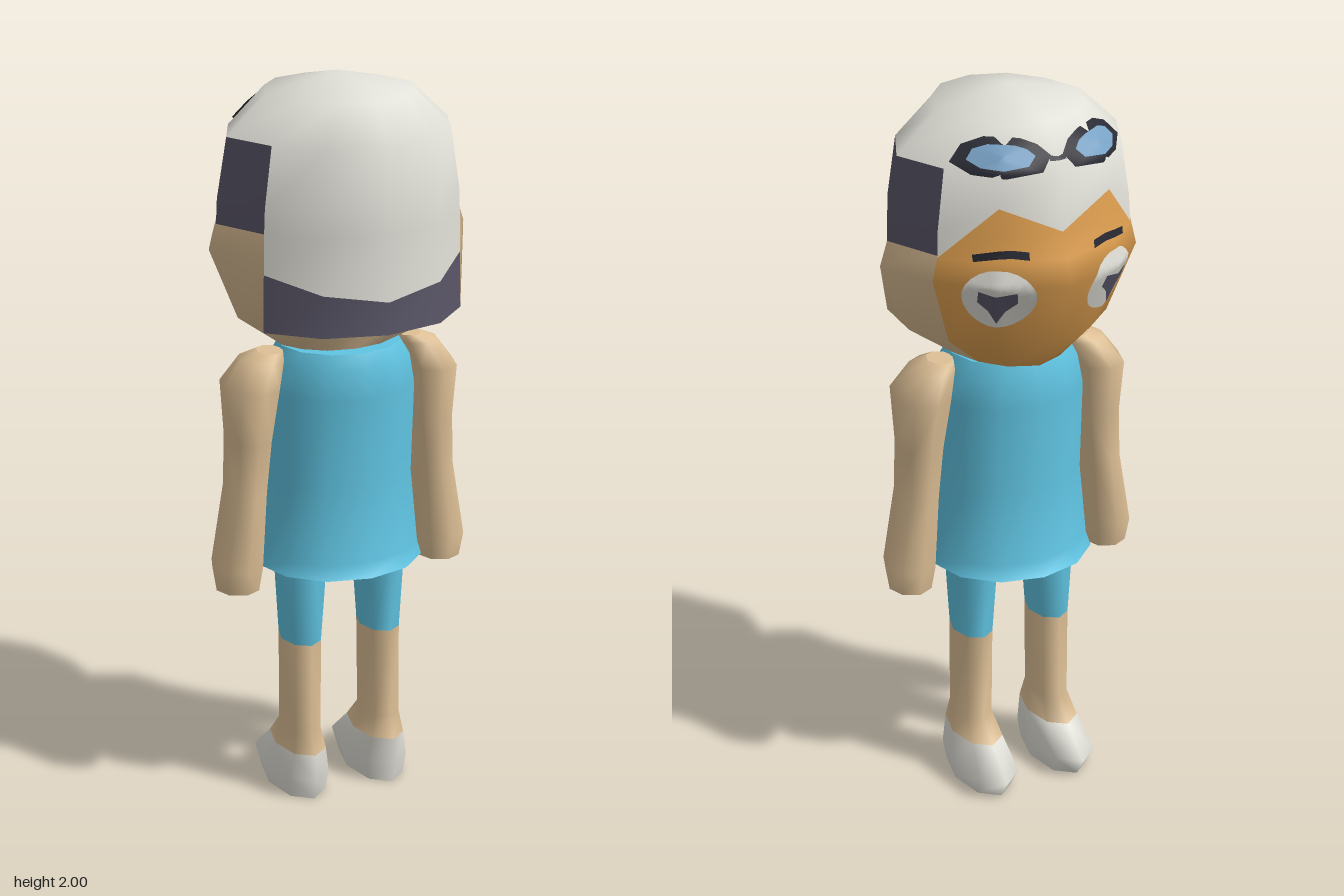
import * as THREE from 'three';
import { mergeGeometries, mergeVertices } from 'three/addons/utils/BufferGeometryUtils.js';

const material = (name, color, side = THREE.FrontSide) =>
  Object.assign(new THREE.MeshStandardMaterial({ color, side }), { name });

// Surface patch: point(i, j) for i = 0..nu, j = 0..nv
function grid(nu, nv, point) {
  const pos = [], index = [];
  for (let j = 0; j <= nv; j++) for (let i = 0; i <= nu; i++) pos.push(...point(i, j));
  for (let j = 0; j < nv; j++) for (let i = 0; i < nu; i++) {
    const a = j * (nu + 1) + i, b = a + 1, c = a + nu + 1, d = c + 1;
    index.push(a, c, b, b, c, d);
  }
  const g = new THREE.BufferGeometry();
  g.setAttribute('position', new THREE.Float32BufferAttribute(pos, 3));
  g.setIndex(index);
  return g;
}

// Join patches with smooth normals
function smooth(...patches) {
  const g = mergeVertices(mergeGeometries(patches), 1e-4);
  g.computeVertexNormals();
  return g;
}

// Loft through elliptical rings [y, cx, cz, rx, rz], with flat end caps
function loft(rings, sides) {
  const at = ([y, cx, cz, rx, rz], i, s = 1) => {
    const t = (i / sides) * Math.PI * 2;
    return [cx + s * rx * Math.cos(t), y, cz + s * rz * Math.sin(t)];
  };
  const first = rings[0], last = rings[rings.length - 1];
  return mergeGeometries([
    smooth(grid(sides, rings.length - 1, (i, j) => at(rings[j], i))),
    smooth(grid(sides, 1, (i, j) => at(first, i, j))),
    smooth(grid(sides, 1, (i, j) => at(last, i, 1 - j))),
  ]);
}

// Head: twelve columns, numbered from the face (-z) round through +x
const CZ = 0.02;
const BASE = [[0, -0.28], [0.165, -0.24], [0.28, -0.13], [0.35, 0.02], [0.28, 0.17], [0.165, 0.28], [0, 0.32]];
// rings: y, x scale, front z scale, back z scale, nose push
const CROWN = [
  [1.635, 0.98, 1, 0.99, -0.018], [1.7, 0.97, 0.98, 0.99, 0], [1.855, 0.89, 0.93, 0.95, 0],
  [1.955, 0.58, 0.71, 0.74, 0], [2, 0, 0, 0, 0],
];
const HAIR = [[1.38, 1, 1, 1, 0], ...CROWN];
const SKIN = [[1.29, 0.46, 0.55, 0.36, -0.01], [1.38, 0.82, 0.76, 0.5, -0.012], [1.57, 1.04, 1.03, 0.98, -0.035], ...CROWN];

function column(rings, k, y) {
  k = (k + 12) % 12;
  // the skin meets the hair edge behind the ears
  if ((k === 4 || k === 8) && y >= 1.38) rings = HAIR;
  const [bx, bz] = BASE[k > 6 ? 12 - k : k];
  let n = 0;
  while (n < rings.length - 2 && y > rings[n + 1][0]) n++;
  const t = (y - rings[n][0]) / (rings[n + 1][0] - rings[n][0]);
  const [, sx, sf, sb, nose] = rings[n].map((v, m) => v + (rings[n + 1][m] - v) * t);
  const z = CZ + (bz - CZ) * (bz < CZ ? sf : sb) + (k === 0 ? nose : 0);
  return [(k > 6 ? -bx : bx) * sx, y, z];
}

// Part of the head from column k0 on, between lower and upper heights per column
function headPatch(rings, k0, low, high) {
  return grid(low.length - 1, rings.length - 1, (i, j) => {
    const y = Math.min(Math.max(rings[j][0], low[i]), high[i]);
    return column(rings, k0 + i, y);
  });
}

// Thin painted plate following the head; outline points are [column, y]
function plate(outline, lift) {
  const n = outline.length, steps = 10;
  const c = [0, 1].map(m => outline.reduce((s, p) => s + p[m], 0) / n);
  return smooth(grid(n, steps, (i, j) => {
    const p = outline[i % n], s = j / steps;
    const u = c[0] + (p[0] - c[0]) * s, y = c[1] + (p[1] - c[1]) * s;
    const k = Math.floor(u), A = column(SKIN, k, y), B = column(SKIN, k + 1, y);
    const q = new THREE.Vector3(...A).lerp(new THREE.Vector3(...B), u - k);
    const out = q.clone().sub(new THREE.Vector3(0, 1.6, CZ)).normalize();
    return q.addScaledVector(out, lift).toArray();
  }));
}

export function createModel() {
  const DS = THREE.DoubleSide;
  const skin = material('skin', 0xdec096, DS);
  const tan = material('orange face', 0xe0a050);
  const white = material('off white', 0xe2e1d9, DS);
  const hair = material('dark hair', 0x5a5668, DS);
  const black = material('black trim', 0x2a2a34, DS);
  const glass = material('lens blue', 0x78a2c6, DS);
  const blue = material('blue cloth', 0x60c4e2);

  const model = new THREE.Group();
  const add = (name, geometry, mat, parent = model) => {
    const mesh = new THREE.Mesh(geometry, mat);
    mesh.name = name;
    parent.add(mesh);
    return mesh;
  };
  const pair = (name, geometry, mat) => {
    add('left' + name, geometry, mat);
    add('right' + name, geometry, mat).scale.x = -1;
  };

  // Head and cap
  const fill = (n, v) => Array(n).fill(v);
  const faceTop = [1.63, 1.77, 1.7, 1.77, 1.63];
  const napeTop = [1.53, 1.49, 1.465, 1.49, 1.53];
  add('face', smooth(headPatch(SKIN, -2, fill(5, 1.29), faceTop)), tan);
  add('cap', smooth(
    headPatch(CROWN.concat().length ? SKIN : HAIR, -2, faceTop, fill(5, 2)),
    headPatch(HAIR, 2, fill(3, 1.855), fill(3, 2)),
    headPatch(HAIR, 8, fill(3, 1.855), fill(3, 2)),
    headPatch(HAIR, 4, napeTop, fill(5, 2))), white);
  add('headSkin', smooth(
    headPatch(SKIN, 2, fill(3, 1.29), fill(3, 1.635)),
    headPatch(SKIN, 8, fill(3, 1.29), fill(3, 1.635)),
    headPatch(SKIN, 4, fill(5, 1.29), fill(5, 1.38))), skin);
  add('headUnderside', smooth(grid(12, 1, (i, j) => {
    const [x, y, z] = column(SKIN, i, 1.29);
    return [x * j, y, CZ + (z - CZ) * j];
  })), skin);
  for (const [name, k] of [['leftSideHair', 2], ['rightSideHair', 8]])
    add(name, smooth(headPatch(HAIR, k, fill(3, 1.635), fill(3, 1.855))), hair);
  add('napeHair', smooth(headPatch(HAIR, 4, fill(5, 1.38), napeTop)), hair);
  add('napeHairUnderside', smooth(grid(4, 1, (i, j) => column(j ? HAIR : SKIN, 4 + i, 1.38))), hair);

  // Eyes and brows
  const oval = Array.from({ length: 24 }, (_, i) => {
    const t = (i / 24) * Math.PI * 2;
    return [1 + 0.56 * Math.cos(t), 1.533 + 0.083 * Math.sin(t)];
  });
  pair('EyeWhite', plate(oval, 0.006), white);
  pair('Iris', plate([[0.72, 1.56], [1, 1.55], [1.27, 1.562], [1.3, 1.53], [1.13, 1.505],
    [1, 1.468], [0.87, 1.505], [0.7, 1.53]], 0.011), hair);
  pair('Brow', plate([[0.55, 1.638], [0.8, 1.645], [1, 1.645], [1.4, 1.632], [1.42, 1.65],
    [1, 1.665], [0.8, 1.665], [0.55, 1.658]], 0.007), black);

  // Goggles resting on the cap
  const frame = [[0.12, 1.885], [0.3, 1.85], [0.9, 1.84], [1.5, 1.845], [1.95, 1.868],
    [1.9, 1.905], [1.5, 1.925], [0.7, 1.925], [0.35, 1.91]];
  pair('GoggleFrame', plate(frame, 0.006), black);
  pair('GoggleLens', plate(frame.map(([u, y]) => [1.02 + (u - 1.02) * 0.68, 1.883 + (y - 1.883) * 0.6]), 0.011), glass);
  add('goggleBridge', plate([[-0.16, 1.873], [0, 1.873], [0.16, 1.873], [0.16, 1.885], [0, 1.882], [-0.16, 1.885]], 0.006), black);

  // Neck and tunic
  add('neck', loft([[1.2, 0, CZ, 0.1, 0.1], [1.31, 0, CZ, 0.1, 0.1]], 12), skin);
  add('tunic', loft([
    [0.68, 0, 0.018, 0.23, 0.207], [0.715, 0, 0.02, 0.222, 0.18], [0.92, 0, 0.02, 0.202, 0.162],
    [1.17, 0, 0.022, 0.205, 0.178], [1.25, 0, 0.024, 0.19, 0.168], [1.29, 0, 0.022, 0.165, 0.152],
  ], 12), blue);

  // Arms
  pair('Arm', loft([
    [0.632, 0.3, 0.022, 0.06, 0.068], [0.7, 0.3, 0.022, 0.071, 0.082], [0.91, 0.275, 0.022, 0.056, 0.079],
    [1.05, 0.265, 0.022, 0.063, 0.08], [1.195, 0.258, 0.022, 0.076, 0.106],
    [1.265, 0.223, 0.022, 0.058, 0.075], [1.283, 0.2, 0.022, 0.035, 0.045],
  ], 8), skin);

  // Legs and shoes
  const knee = [0.455, 0.118, 0.02, 0.054, 0.08], ankle = [0.135, 0.119, 0.005, 0.067, 0.12];
  pair('ShortsLeg', loft([knee, [0.7, 0.116, 0.02, 0.072, 0.092]], 8), blue);
  pair('Leg', loft([ankle, [0.195, 0.12, 0.022, 0.053, 0.08], knee], 8), skin);
  pair('Shoe', loft([[0, 0.12, -0.025, 0.074, 0.142], [0.06, 0.12, -0.037, 0.085, 0.168], ankle], 8), white);

  return model;
}
